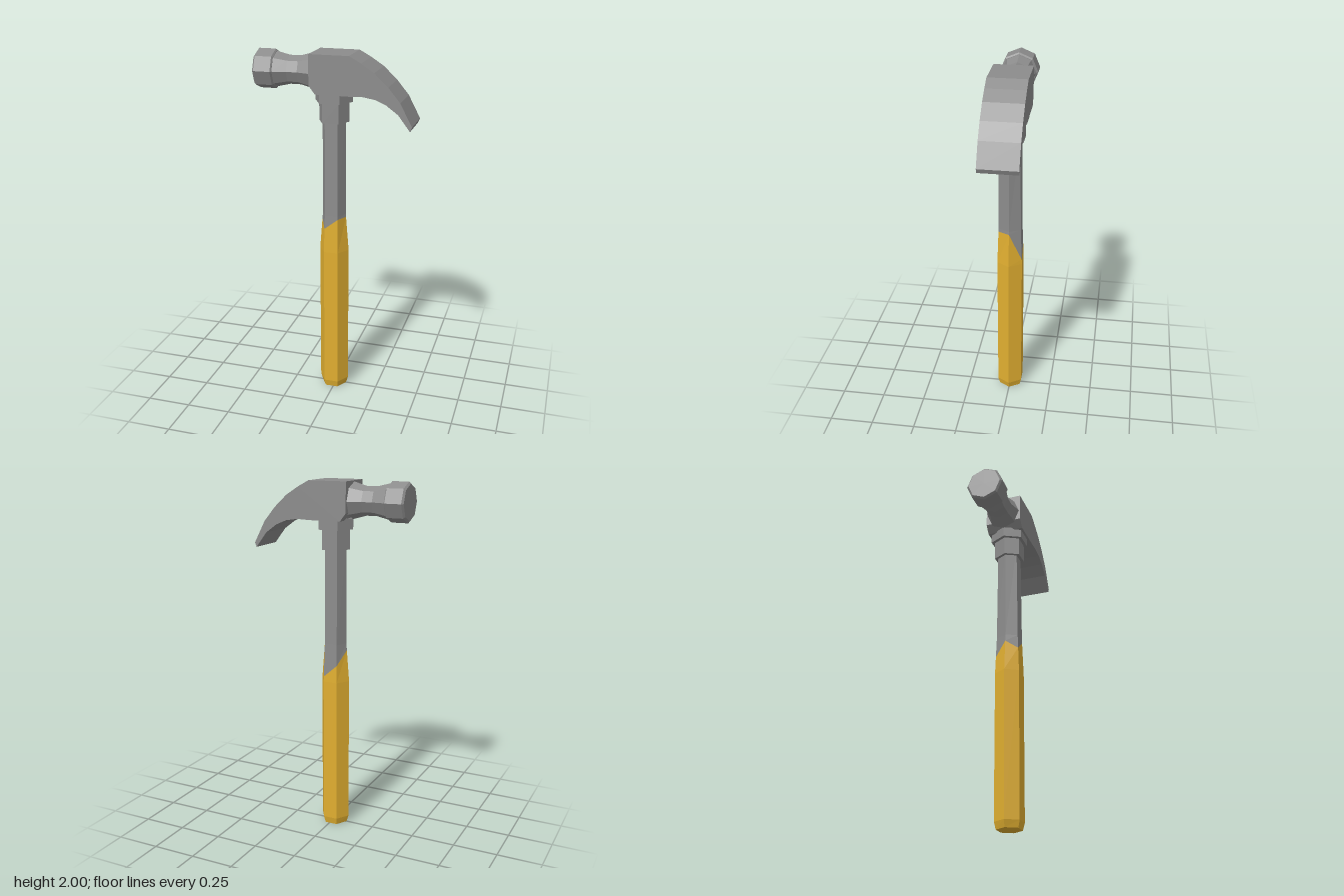
import * as THREE from 'three';

const steel = new THREE.MeshStandardMaterial({ color: 0x8c8c8c, flatShading: true });
steel.name = 'steel';
const yellow = new THREE.MeshStandardMaterial({ color: 0xe0ae30, flatShading: true });
yellow.name = 'yellowGrip';

const AXIS_X = -0.01; // centre line of the handle
const HEAD_Y = 1.895; // centre line of the striking head
const HALF_DEPTH = 0.107;

// Six corners: points on +x and -x, flats on front and back.
function hexRing(y, halfX, flatX, halfZ) {
  return [[halfX, 0], [flatX, halfZ], [-flatX, halfZ], [-halfX, 0], [-flatX, -halfZ], [flatX, -halfZ]]
    .map(([x, z]) => new THREE.Vector3(AXIS_X + x, y, z));
}

// Skin a stack of rings, bottom to top, with both ends closed.
function loft(rings) {
  const n = rings[0].length;
  const index = [];
  for (let r = 0; r < rings.length - 1; r++) {
    for (let i = 0; i < n; i++) {
      const a = r * n + i;
      const b = r * n + (i + 1) % n;
      index.push(b, a, a + n, b, a + n, b + n);
    }
  }
  const top = (rings.length - 1) * n;
  for (let i = 1; i < n - 1; i++) {
    index.push(0, i, i + 1, top, top + i + 1, top + i);
  }
  const geometry = new THREE.BufferGeometry().setFromPoints(rings.flat());
  geometry.setIndex(index);
  geometry.computeVertexNormals();
  return geometry;
}

export function createModel() {
  const model = new THREE.Group();
  model.name = 'hammer';
  const add = (name, geometry, material) => {
    const mesh = new THREE.Mesh(geometry, material);
    mesh.name = name;
    model.add(mesh);
    return mesh;
  };

  // Handle: the grip ends in an uneven line around the taper
  const taperLow = hexRing(0.88, 0.085, 0.041, 0.071);
  const taperHigh = hexRing(1.1, 0.067, 0.037, 0.063);
  const split = [1.08, 1.08, 1.02, 1.06, 0.98, 0.91].map((y, i) =>
    taperLow[i].clone().lerp(taperHigh[i], (y - 0.88) / 0.22));
  add('grip', loft([
    hexRing(0, 0.073, 0.036, 0.062),
    hexRing(0.04, 0.085, 0.041, 0.071),
    taperLow,
    split,
  ]), yellow);
  add('shaft', loft([split, taperHigh, hexRing(1.68, 0.066, 0.036, 0.058)]), steel);

  // Stepped collar under the head
  add('lowerCollar', loft([
    hexRing(1.63, 0.085, 0.045, 0.076),
    hexRing(1.74, 0.085, 0.045, 0.076),
  ]), steel);
  add('upperCollar', loft([
    hexRing(1.74, 0.105, 0.056, 0.094),
    hexRing(1.8, 0.105, 0.056, 0.094),
  ]), steel);

  // Head block and curved claw in one side profile
  const profile = new THREE.Shape([
    [-0.12, 2], [-0.12, 1.835], [-0.085, 1.79], [0.1, 1.79], [0.17, 1.793], [0.24, 1.782],
    [0.3, 1.757], [0.365, 1.71], [0.43, 1.625], [0.44, 1.65], [0.375, 1.772],
    [0.31, 1.85], [0.235, 1.92], [0.165, 1.965], [0.1, 2],
  ].map(([x, y]) => new THREE.Vector2(x, y)));
  const claw = new THREE.ExtrudeGeometry(profile, { depth: HALF_DEPTH * 2, bevelEnabled: false });
  claw.translate(0, 0, -HALF_DEPTH);
  add('headAndClaw', claw, steel);

  // Eight-sided waisted neck and striking face, turned about the x axis
  const turned = (name, points) => {
    const geometry = new THREE.LatheGeometry(points.map(([r, d]) => new THREE.Vector2(r, d)), 8);
    geometry.rotateZ(Math.PI / 2);
    geometry.translate(0, HEAD_Y, 0);
    add(name, geometry, steel);
  };
  turned('neck', [[0, 0.1], [0.1, 0.115], [0.078, 0.195], [0.078, 0.255], [0.097, 0.335], [0, 0.34]]);
  turned('strikingFace', [[0, 0.33], [0.098, 0.33], [0.107, 0.337], [0.107, 0.43], [0.096, 0.44], [0, 0.44]]);

  return model;
}
